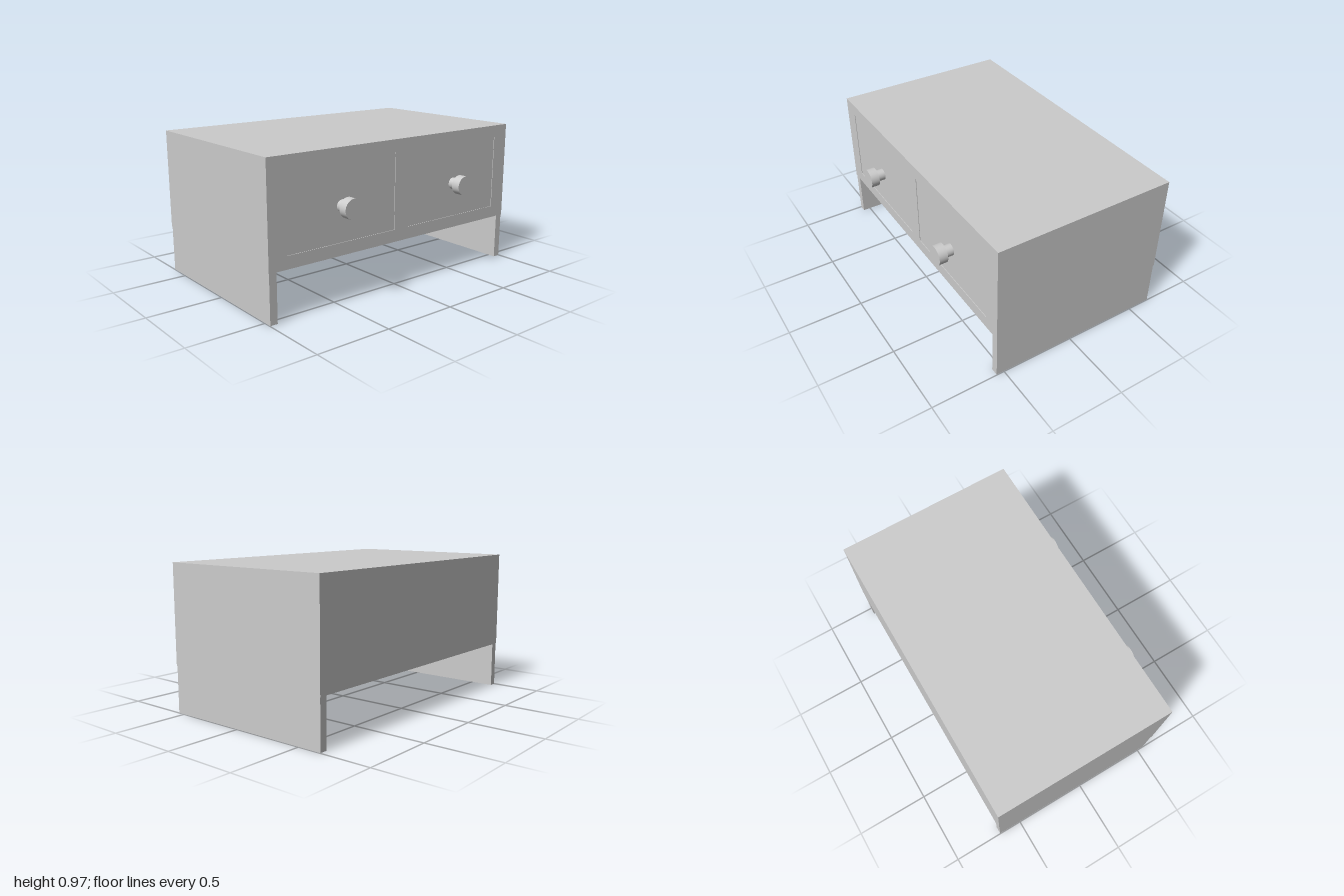
import * as THREE from 'three';

const BACK = -0.663, FRONT = 0.555, BOTTOM = 0.312, TOP = 0.973, RECESS = 0.004;

export function createModel() {
  const model = new THREE.Group();
  const material = new THREE.MeshStandardMaterial({ color: 0xcccccc });
  const add = (name, geometry, x, y, z) => {
    const mesh = new THREE.Mesh(geometry, material);
    mesh.name = name;
    mesh.position.set(x, y, z);
    model.add(mesh);
    return mesh;
  };

  // Cabinet: a closed box, its +x face is covered by the frame
  const depth = FRONT - RECESS - BACK;
  add('cabinet', new THREE.BoxGeometry(depth, TOP - BOTTOM, 2),
    BACK + depth / 2, (TOP + BOTTOM) / 2, 0);

  // Thin frame with two openings, leaving the drawer fronts slightly recessed
  const rectangle = (path, u0, v0, u1, v1) => path
    .moveTo(u0, v0).lineTo(u1, v0).lineTo(u1, v1).lineTo(u0, v1).closePath();
  const outline = rectangle(new THREE.Shape(), -1, BOTTOM, 1, TOP);
  for (const u of [-0.88, 0.055]) {
    outline.holes.push(rectangle(new THREE.Path(), u, 0.393, u + 0.825, 0.892));
  }
  const frame = new THREE.ExtrudeGeometry(outline, { depth: RECESS, bevelEnabled: false });
  frame.rotateY(Math.PI / 2);
  add('drawerFrame', frame, FRONT - RECESS, 0, 0);

  for (const side of [-1, 1]) {
    // Panel legs, set in a hair from the cabinet sides
    const legWidth = FRONT - BACK - 0.006;
    add('panelLeg', new THREE.BoxGeometry(legWidth, BOTTOM, 0.05),
      (FRONT + BACK) / 2, BOTTOM / 2, side * 0.972);

    // Stepped round knobs
    const profile = [[0, 0], [0.039, 0], [0.039, 0.054], [0.064, 0.054], [0.064, 0.112], [0, 0.112]];
    for (let i = 0; i < profile.length - 1; i++) {
      const points = [profile[i], profile[i + 1]].map(p => new THREE.Vector2(...p));
      const ring = new THREE.LatheGeometry(points, 48);
      ring.rotateZ(-Math.PI / 2);
      add('knob', ring, FRONT - RECESS, 0.62, side * 0.475);
    }
  }
  return model;
}
